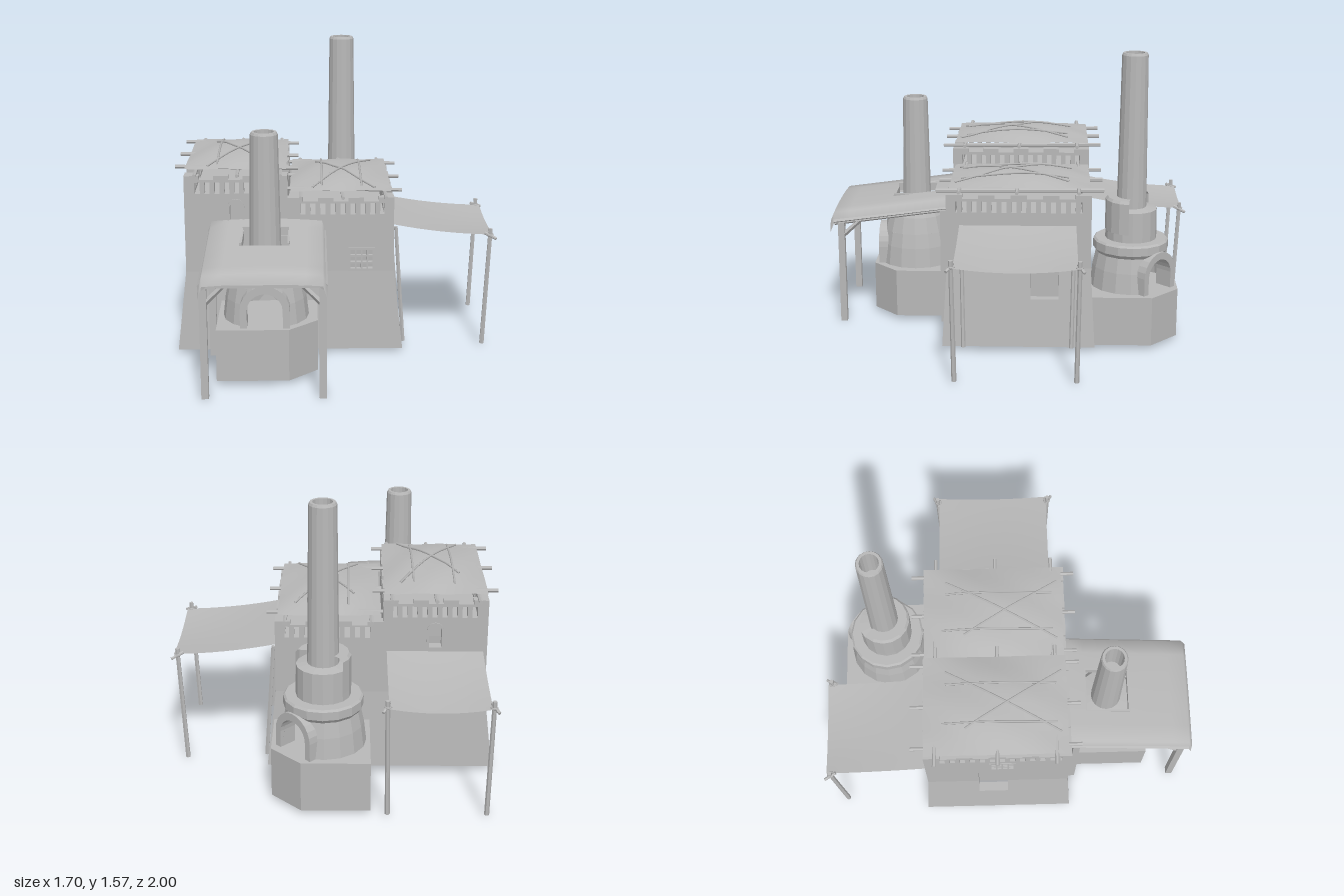
import * as THREE from 'three';

const clay = new THREE.MeshStandardMaterial({ color: 0xb8b8b8, side: THREE.DoubleSide });
clay.name = 'plain clay grey';
const V = (x, y, z) => new THREE.Vector3(x, y, z);

function add(parent, geo, name, x = 0, y = 0, z = 0) {
  const m = new THREE.Mesh(geo, clay);
  m.name = name;
  m.position.set(x, y, z);
  parent.add(m);
  return m;
}
const box = (p, name, w, h, d, x, y, z) => add(p, new THREE.BoxGeometry(w, h, d), name, x, y, z);

// Round or square bar between two points
function pole(parent, name, a, b, r, sides = 6) {
  const d = b.clone().sub(a);
  const m = add(parent, new THREE.CylinderGeometry(r * 0.9, r, d.length(), sides).toNonIndexed(), name);
  m.geometry.computeVertexNormals();
  m.position.copy(a).add(b).multiplyScalar(0.5);
  m.quaternion.setFromUnitVectors(V(0, 1, 0), d.normalize());
  return m;
}

function poly(points, Type = THREE.Path) {
  return new Type(points.map(([x, y]) => new THREE.Vector2(x, y)));
}
const rect = (x0, y0, x1, y1) => poly([[x0, y0], [x1, y0], [x1, y1], [x0, y1]]);

// Round-headed opening or frame
function arch(cx, y0, w, h, Type = THREE.Path) {
  const s = new Type(), r = w / 2;
  s.moveTo(cx - r, y0);
  s.lineTo(cx + r, y0);
  s.lineTo(cx + r, y0 + h - r);
  s.absarc(cx, y0 + h - r, r, 0, Math.PI, false);
  s.closePath();
  return s;
}

// Wall panel whose outside face is at local z = 0; the foot flares outward
function panel(parent, name, shape, holes, depth = 0.05, flare = 0) {
  shape.holes = holes;
  const g = new THREE.ExtrudeGeometry(shape, { depth, bevelEnabled: false, curveSegments: 6 });
  g.translate(0, 0, -depth);
  const p = g.attributes.position;
  for (let i = 0; i < p.count; i++) p.setZ(i, p.getZ(i) + flare * (0.45 - p.getY(i)) / 0.43);
  g.computeVertexNormals();
  return add(parent, g, name);
}

// Stepped parapet line running from a to b
function parapet(a, b, y, n = 7) {
  const out = [];
  for (let i = 0; i < n; i++) {
    const h = y - (i % 2) * 0.02;
    out.push([a + (b - a) * i / n, h], [a + (b - a) * (i + 1) / n, h]);
  }
  return out;
}
function vents(a, b, y, n, w = 0.027) {
  return Array.from({ length: n }, (_, i) => {
    const c = a + (b - a) * i / (n - 1);
    return rect(c - w / 2, y, c + w / 2, y + 0.06);
  });
}

// Window plate pierced by a 4 by 3 grid
function lattice(parent, cx, cy) {
  const holes = [];
  for (let i = 0; i < 4; i++) for (let j = 0; j < 3; j++) {
    const x = cx - 0.058 + i * 0.031, y = cy - 0.052 + j * 0.037;
    holes.push(rect(x, y, x + 0.023, y + 0.028));
  }
  panel(parent, 'latticeWindow', poly([[cx - 0.07, cy - 0.065], [cx + 0.07, cy - 0.065],
    [cx + 0.07, cy + 0.065], [cx - 0.07, cy + 0.065]], THREE.Shape), holes, 0.02).position.z = 0.004;
}

// Cloth surface over a grid of x and z lines, following a height rule
function cloth(parent, name, xs, zs, f, skip = () => false) {
  const pos = [], idx = [], n = zs.length;
  xs.forEach(x => zs.forEach(z => pos.push(x, f(x, z), z)));
  for (let i = 0; i < xs.length - 1; i++) for (let j = 0; j < n - 1; j++) {
    if (skip((xs[i] + xs[i + 1]) / 2, (zs[j] + zs[j + 1]) / 2)) continue;
    const a = i * n + j;
    idx.push(a, a + 1, a + n, a + 1, a + n + 1, a + n);
  }
  const g = new THREE.BufferGeometry();
  g.setAttribute('position', new THREE.Float32BufferAttribute(pos, 3));
  g.setIndex(idx);
  g.computeVertexNormals();
  return add(parent, g, name);
}
const steps = (a, b, n) => Array.from({ length: n + 1 }, (_, i) => a + (b - a) * i / n);

function lathe(parent, name, pts, sides, start = 0, len = Math.PI * 2) {
  const g = new THREE.LatheGeometry(pts.map(p => new THREE.Vector2(...p)), sides, start, len).toNonIndexed();
  g.computeVertexNormals();
  return add(parent, g, name);
}

function building(root) {
  const b = new THREE.Group();
  b.name = 'building';
  root.add(b);
  const sideGroup = (name, x, z, turn) => {
    const g = new THREE.Group();
    g.name = name;
    g.position.set(x, 0, z);
    g.rotation.y = turn;
    b.add(g);
    return g;
  };
  // Front and back walls, stepped in height; the back is mirrored
  for (const s of [1, -1]) {
    const g = sideGroup(s > 0 ? 'frontWall' : 'backWall', -0.25, s > 0 ? 0.31 : -0.46, s > 0 ? 0 : Math.PI);
    const pts = [[-0.55, 0.45], [0.55, 0.45], ...parapet(0.55, -0.01, 0.85), ...parapet(-0.01, -0.55, 0.97)];
    const holes = [...vents(-0.48, -0.07, 0.875, 9), ...vents(0.07, 0.49, 0.76, 9), arch(-0.28, 0.71, 0.065, 0.125)];
    if (s > 0) holes.push(rect(0.32, 0.455, 0.44, 0.575));
    const flip = a => s > 0 ? a : a.map(h => poly(h.getPoints(6).map(p => [-p.x, p.y]).reverse()));
    panel(g, 'upperWall', poly(s > 0 ? pts : pts.map(([x, y]) => [-x, y]).reverse(), THREE.Shape), flip(holes));
    panel(g, 'wallFoot', poly([[-0.6, 0.02], [0.6, 0.02], [0.55, 0.45], [-0.55, 0.45]], THREE.Shape), [], 0.05, 0.025);
    panel(g, 'archedWindowFrame', arch(-0.28 * s, 0.7, 0.088, 0.147, THREE.Shape),
      [arch(-0.28 * s, 0.71, 0.065, 0.125)], 0.02).position.z = 0.006;
    if (s > 0) lattice(g, 0.38, 0.515);
  }
  // Side walls, each with a tall recessed opening
  for (const [name, x, turn, top, u0, u1, uy] of [
    ['leftWall', 0.3, Math.PI / 2, 0.85, 0.065, 0.215, 0.57],
    ['rightWall', -0.8, -Math.PI / 2, 0.97, -0.105, 0.055, 0.63]]) {
    const g = sideGroup(name, x, -0.075, turn), e = 0.385;
    const holes = vents(-0.34, 0.34, top - 0.095, 14);
    if (x < 0) holes.push(rect(-0.035, 0.72, 0.085, 0.84));
    panel(g, 'upperWall', poly([[-e, 0.45], [u0, 0.45], [u0, uy], [u1, uy], [u1, 0.45], [e, 0.45],
      ...parapet(e, -e, top, 9)], THREE.Shape), holes);
    panel(g, 'wallFoot', poly([[-e - 0.025, 0.02], [e + 0.025, 0.02], [e, 0.45], [u1, 0.45], [u1, 0.28],
      [u0, 0.28], [u0, 0.45], [-e, 0.45]], THREE.Shape), [], 0.05, 0.05);
    box(g, 'openingBack', u1 - u0 + 0.02, uy - 0.26, 0.008, (u0 + u1) / 2, (uy + 0.28) / 2, -0.045);
    if (x < 0) lattice(g, 0.025, 0.78);
  }
  // Raised wall between the two roofs, and the roof floors
  const mid = sideGroup('middleWall', -0.26, -0.075, Math.PI / 2);
  panel(mid, 'middleParapet', poly([[-0.385, 0.72], [0.385, 0.72], ...parapet(0.385, -0.385, 0.97, 9)], THREE.Shape),
    vents(-0.32, 0.32, 0.875, 13));
  box(b, 'lowRoofFloor', 0.54, 0.02, 0.74, 0.01, 0.735, -0.075);
  box(b, 'highRoofFloor', 0.5, 0.02, 0.74, -0.53, 0.852, -0.075);

  // Domed shade cloths on crossed poles
  for (const [cx, y] of [[-0.53, 1], [0.02, 0.88]]) {
    const f = (x, z) => y + 0.004 + 0.046 * (1 - ((x - cx) / 0.27) ** 2) * (1 - ((z + 0.08) / 0.375) ** 2)
      + 0.003 * Math.sin(x * 25 + z * 13);
    cloth(b, 'roofCloth', steps(cx - 0.265, cx + 0.265, 8), steps(-0.455, 0.295, 8), f);
    for (const z of [-0.4, -0.075, 0.23])
      pole(b, 'crossPole', V(cx - 0.32, y + 0.003, z), V(cx + 0.325, y - 0.006, z + 0.01), 0.011);
    for (const dx of [-0.22, 0, 0.225])
      pole(b, 'longPole', V(cx + dx, y - 0.012, -0.525), V(cx + dx + 0.01, y - 0.018, 0.365), 0.011);
    for (const [x0, z0, x1, z1] of [[-0.1, -0.36, -0.1, 0.24], [0.11, -0.34, 0.11, 0.24],
      [-0.15, 0.26, 0.18, -0.34], [-0.13, -0.24, 0.18, 0.27]]) {
      const path = new THREE.CatmullRomCurve3(steps(0, 1, 6).map(t => {
        const x = cx + x0 + (x1 - x0) * t, z = z0 + (z1 - z0) * t;
        return V(x, f(x, z) + 0.006, z);
      }));
      add(b, new THREE.TubeGeometry(path, 10, 0.006, 5), 'roofLashing');
    }
  }
}

// Sagging awning: local +x runs away from the wall, z spans the width
function awning(root, name, w, wallPoles) {
  const g = new THREE.Group(), h = w / 2;
  g.name = name;
  root.add(g);
  cloth(g, 'awningCloth', steps(0, 0.54, 8), steps(-h, h, 8), (x, z) => {
    const t = x / 0.54;
    return 0.685 - 0.06 * t - 0.05 * t * (1 - t) - 0.022 * (1 - (z / h) ** 2) * t;
  });
  for (const s of [-1, 1]) {
    pole(g, 'awningPost', V(0.49, 0.01, s * h), V(0.52, 0.66, s * (h + 0.008)), 0.013);
    pole(g, 'awningPeg', V(0.49, 0.635, s * h), V(0.55, 0.61, s * (h + 0.03)), 0.009);
    add(g, new THREE.TorusGeometry(0.014, 0.006, 5, 8).rotateX(Math.PI / 2), 'ropeKnot', 0.518, 0.625, s * (h + 0.006));
    if (wallPoles) pole(g, 'wallPost', V(0.06, 0.02, s * (h - 0.02)), V(0.015, 0.67, s * (h - 0.01)), 0.012);
  }
  return g;
}

// Furnace base with one cut corner, x-z plan
function furnaceBase(parent, pts) {
  const g = new THREE.ExtrudeGeometry(poly(pts.map(([x, z]) => [x, -z]), THREE.Shape), { depth: 0.27, bevelEnabled: false });
  add(parent, g.rotateX(-Math.PI / 2), 'furnaceBase', 0, 0.02, 0);
}

// Round furnace with an arched mouth facing local +z and a hollow chimney
function furnace(root, name, x, z, turn, shoulder, top) {
  const g = new THREE.Group();
  g.name = name;
  g.position.set(x, 0, z);
  g.rotation.y = turn;
  root.add(g);
  lathe(g, 'furnaceBody', [[0.22, 0.29], [0.207, 0.4], [0.19, 0.48]], 14, 0.43, Math.PI * 2 - 0.86);
  lathe(g, 'furnaceShoulder', [[0.19, 0.48], ...shoulder], 16);
  panel(g, 'furnaceMouth', arch(0, 0.29, 0.25, 0.22, THREE.Shape), [arch(0, 0.29, 0.18, 0.18)], 0.1).position.z = 0.215;
  lathe(g, 'chimney', [[0.083, 0.55], [0.07, top - 0.012], [0.064, top], [0.05, top], [0.048, top - 0.2], [0, top - 0.2]], 16);
  return g;
}

function porch(root) {
  const g = new THREE.Group();
  g.name = 'porch';
  root.add(g);
  const slope = z => 0.635 + 0.09 * (0.99 - z) / 0.68;
  const xs = [-0.68, -0.66, -0.57, -0.49, -0.37, -0.25, -0.16, -0.08, -0.06];
  const zs = [0.31, 0.41, 0.53, 0.65, 0.76, 0.88, 0.97, 0.99];
  // Roof sheet with drooping edges and a square chimney opening
  const top = (x, z) => slope(z) + 0.015 * (1 - ((x + 0.37) / 0.31) ** 2)
    - (Math.abs(x + 0.37) > 0.3 ? 0.06 : 0) - (z > 0.98 ? 0.045 : 0);
  const opening = (x, z) => Math.abs(x + 0.37) < 0.12 && z > 0.41 && z < 0.65;
  cloth(g, 'porchRoof', xs, zs, top, opening);
  cloth(g, 'porchLining', xs, zs, (x, z) => Math.min(top(x, z), slope(z) - 0.035), opening);
  for (const s of [-1, 1]) {
    const x = -0.37 + s * 0.29;
    box(g, 'porchPost', 0.036, 0.6, 0.036, x, 0.3, 0.93);
    box(g, 'porchPost', 0.036, 0.66, 0.036, x, 0.33, 0.355);
    pole(g, 'sideBeam', V(x, 0.59, 0.97), V(x, 0.675, 0.32), 0.024, 4);
    pole(g, 'sideBrace', V(x, 0.5, 0.93), V(x, 0.6, 0.82), 0.014, 4);
    for (const z of [0.93, 0.355]) pole(g, 'frontBrace', V(x, 0.48, z), V(x - s * 0.1, 0.58, z), 0.014, 4);
    box(g, 'openingCurb', 0.012, 0.045, 0.24, -0.37 + s * 0.12, 0.685, 0.53);
    box(g, 'openingCurb', 0.24, 0.045, 0.012, -0.37, slope(0.53 + s * 0.12) - 0.01, 0.53 + s * 0.12);
  }
  box(g, 'frontBeam', 0.6, 0.04, 0.036, -0.37, 0.59, 0.93);
  box(g, 'rearBeam', 0.6, 0.04, 0.036, -0.37, 0.655, 0.355);
}

export function createModel() {
  const root = new THREE.Group();
  root.name = 'workshop';
  building(root);
  awning(root, 'sideAwning', 0.62, true).position.set(0.3, 0, -0.07);
  const back = awning(root, 'backAwning', 0.5, false);
  back.position.set(-0.53, 0, -0.46);
  back.rotation.y = Math.PI / 2;
  porch(root);

  furnaceBase(root, [[-0.615, 0.29], [-0.615, 0.77], [-0.25, 0.77], [-0.105, 0.63], [-0.105, 0.29]]);
  furnace(root, 'frontFurnace', -0.37, 0.53, 0, [[0.165, 0.57], [0.15, 0.6], [0.08, 0.61]], 1.25);
  furnaceBase(root, [[-0.195, -0.94], [-0.195, -0.45], [0.31, -0.45], [0.31, -0.79], [0.155, -0.94]]);
  const rear = furnace(root, 'rearFurnace', 0.045, -0.685, Math.PI * 0.75,
    [[0.205, 0.5], [0.205, 0.545], [0.195, 0.555], [0.14, 0.555], [0.138, 0.72], [0.08, 0.73]], 1.57);
  // Broken collar, higher on the building side
  lathe(rear, 'chimneyCollar', [[0.142, 0.6], [0.142, 0.77], [0.13, 0.785], [0.075, 0.785]], 10, Math.PI * 0.5, Math.PI * 1.2);
  return root;
}
